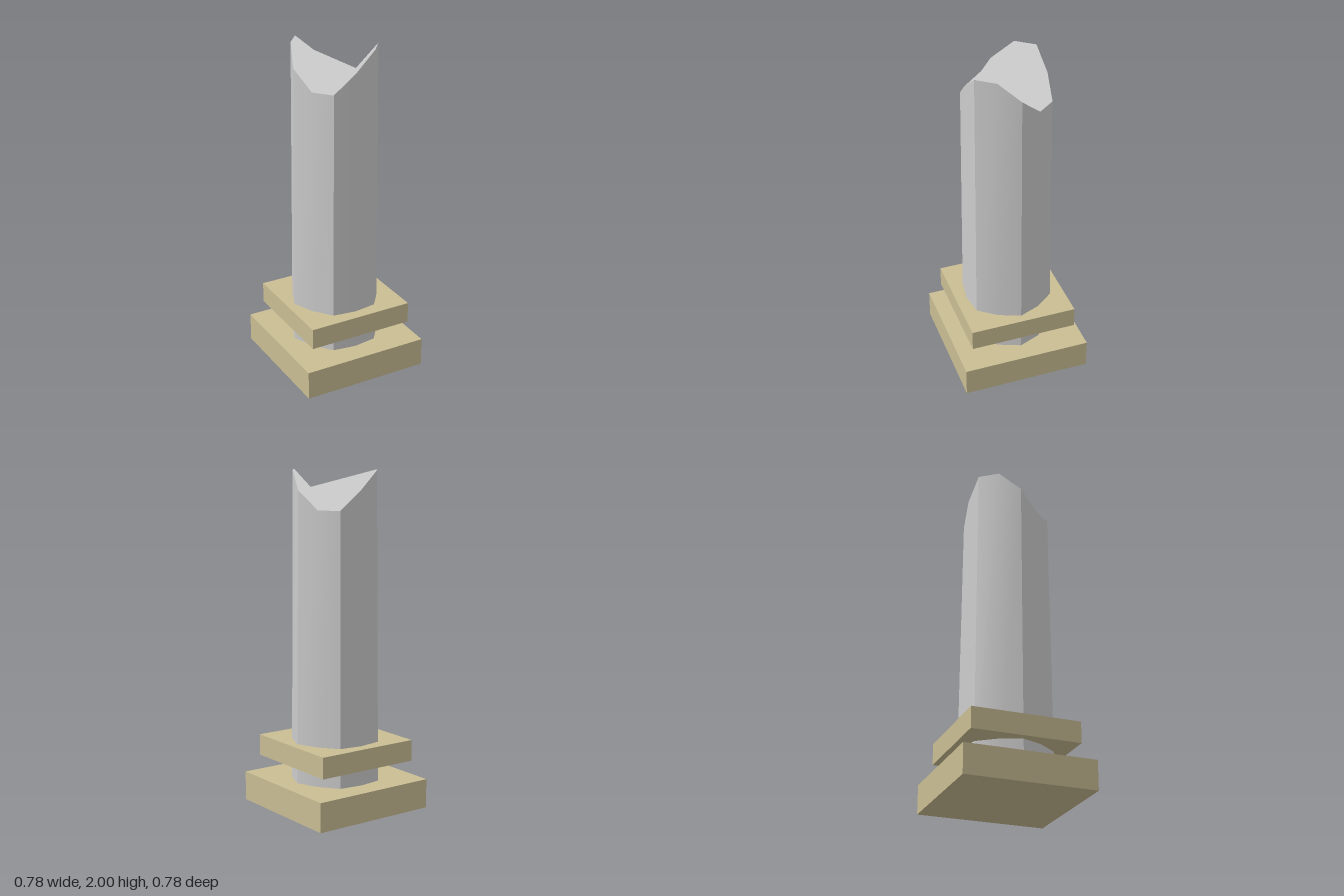
import * as THREE from 'three';
import { toCreasedNormals } from 'three/addons/utils/BufferGeometryUtils.js';

const grey = new THREE.MeshStandardMaterial({ color: 0xcccccc });
const sand = new THREE.MeshStandardMaterial({ color: 0xc9bd93 });

// Mirror a quarter plan (front to left side) into a closed 12-point ring.
function ring(quarter) {
  const q = quarter.slice(0, 3);
  const half = [...quarter, ...q.slice().reverse().map(([x, z]) => [x, -z])];
  const other = half.slice(1, 6).reverse().map(([x, z]) => [-x, z]);
  return [...half, ...other];
}

const bottom = ring([[0, 0.26], [0.14, 0.24], [0.225, 0.13], [0.277, 0]])
  .map(([x, z]) => new THREE.Vector3(x, 0.1, z));

// The rim rises on two opposite diagonals and drops on the other two.
const top = ring([[0, 0.243], [0.13, 0.225], [0.211, 0.123], [0.26, 0]])
  .map(([x, z]) => new THREE.Vector3(x, 1.89 + 0.11 * Math.sign(x * z), z));

function fromTriangles(points) {
  const geometry = new THREE.BufferGeometry().setFromPoints(points);
  geometry.computeVertexNormals();
  return geometry;
}

function add(group, name, geometry, material, y = 0) {
  const mesh = new THREE.Mesh(geometry, material);
  mesh.name = name;
  mesh.position.y = y;
  group.add(mesh);
}

function slab(group, name, width, y0, y1) {
  add(group, name, new THREE.BoxGeometry(width, y1 - y0, width), sand, (y0 + y1) / 2);
}

export function createModel() {
  const group = new THREE.Group();
  group.name = 'brokenColumn';

  // Tapered shaft walls
  const walls = [];
  for (let i = 0; i < 12; i++) {
    const j = (i + 1) % 12;
    walls.push(bottom[i], bottom[j], top[j], bottom[i], top[j], top[i]);
  }
  add(group, 'shaft', toCreasedNormals(fromTriangles(walls), 0.5), grey);

  // Broken top: clip every second corner, then fill the remaining hexagon
  const faces = [[0, 2, 4], [4, 6, 8], [8, 10, 0], [0, 4, 8]];
  for (let i = 0; i < 12; i += 2) faces.push([i, i + 1, (i + 2) % 12]);
  const cap = fromTriangles(faces.flat().map((i) => top[i]));
  const normals = cap.attributes.normal;
  for (let i = 0; i < normals.count; i++) normals.setXYZ(i, 0, 1, 0);
  add(group, 'brokenTop', cap, grey);

  // Square base and collar
  slab(group, 'base', 0.778, 0, 0.175);
  slab(group, 'collar', 0.65, 0.285, 0.412);
  return group;
}
